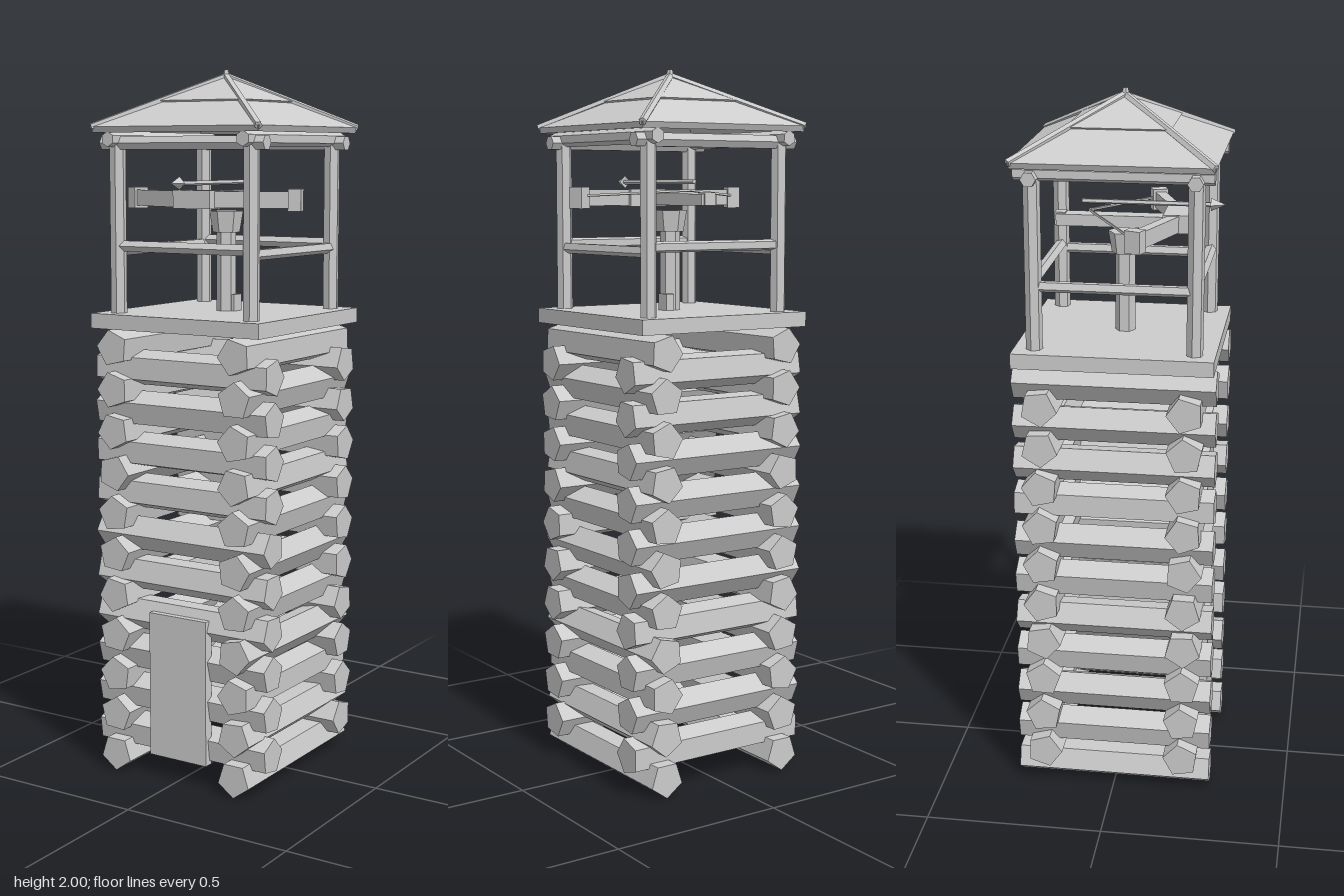
import * as THREE from 'three';

export function createModel() {
  const group = new THREE.Group();
  const grey = new THREE.MeshStandardMaterial({ color: 0xcccccc, flatShading: true, side: THREE.DoubleSide });
  grey.name = 'plainGrey';

  function add(name, geometry, x = 0, y = 0, z = 0, parent = group) {
    const mesh = new THREE.Mesh(geometry, grey);
    mesh.name = name;
    mesh.position.set(x, y, z);
    parent.add(mesh);
    return mesh;
  }
  const box = (name, w, h, d, x, y, z) => add(name, new THREE.BoxGeometry(w, h, d), x, y, z);

  // A faceted pole running between two points
  function pole(name, a, b, r, sides = 5, roll = 0, rTop = r) {
    const from = new THREE.Vector3(...a), to = new THREE.Vector3(...b);
    const dir = to.clone().sub(from);
    const geometry = new THREE.CylinderGeometry(rTop, r, dir.length(), sides).rotateY(roll);
    const mesh = add(name, geometry);
    mesh.position.copy(from).add(to).multiplyScalar(0.5);
    mesh.quaternion.setFromUnitVectors(new THREE.Vector3(0, 1, 0), dir.normalize());
    return mesh;
  }
  let seed = 7;
  const random = () => (seed = (seed * 16807) % 2147483647) / 2147483647;

  // Log walls: side logs and front/back logs stacked alternately
  for (let row = 0; row < 21; row++) {
    const y = 0.054 + row * 0.059;
    for (const s of [-1, 1]) {
      const roll = row === 0 ? 0 : random() * Math.PI * 2;
      if (row % 2 === 0) pole('sideLog', [s * 0.2, y, -0.28], [s * 0.2, y, 0.28], 0.052, 5, roll);
      else pole('crossLog', [-0.28, y, s * 0.2], [0.28, y, s * 0.2], 0.052, 5, roll);
    }
  }

  // Door and platform
  box('door', 0.19, 0.42, 0.03, 0, 0.275, 0.242);
  box('platform', 0.55, 0.042, 0.55, 0, 1.307, 0);

  // Watch room frame
  for (const s of [-1, 1]) {
    for (const t of [-1, 1]) pole('cornerPost', [s * 0.218, 1.32, t * 0.218], [s * 0.218, 1.81, t * 0.218], 0.023, 6, 0.3);
    pole('crossRail', [-0.218, 1.515, s * 0.218], [0.218, 1.515, s * 0.218], 0.016);
    pole('sideRail', [s * 0.218, 1.503, -0.218], [s * 0.218, 1.503, 0.218], 0.016);
    pole('crossBeam', [-0.265, 1.798, s * 0.218], [0.265, 1.798, s * 0.218], 0.021, 6);
    pole('sideBeam', [s * 0.218, 1.808, -0.265], [s * 0.218, 1.808, 0.265], 0.021, 6);
  }

  // Square roof shells: each profile is a closed strip turned in four steps
  function roofShell(name, half, yLow, yHigh, thick) {
    const r = half * Math.SQRT2;
    const profile = [[0, yHigh - thick], [r - 0.01, yLow - thick], [r, yLow], [0, yHigh]]
      .map(([x, y]) => new THREE.Vector2(x, y));
    add(name, new THREE.LatheGeometry(profile, 4, Math.PI / 4));
  }
  roofShell('lowerRoof', 0.273, 1.842, 1.977, 0.016);
  roofShell('upperRoof', 0.14, 1.914, 1.983, 0.008);
  for (const s of [-1, 1]) for (const t of [-1, 1])
    pole('hipRidge', [s * 0.27, 1.841, t * 0.27], [0, 1.981, 0], 0.011);
  pole('finial', [0, 1.965, 0], [0, 2, 0], 0.016, 5, 0, 0.007);

  // Mounted crossbow: pedestal, swivel head and stock
  pole('pedestal', [0, 1.32, 0], [0, 1.56, 0], 0.028, 6);
  box('pedestalFoot', 0.025, 0.05, 0.04, 0.02, 1.35, -0.01);
  pole('swivelHead', [0, 1.55, 0], [0, 1.61, 0], 0.038, 6, 0, 0.048);
  box('stock', 0.05, 0.032, 0.34, 0, 1.64, -0.02);
  box('stockEnd', 0.035, 0.035, 0.03, 0, 1.642, -0.18);
  box('bowBlock', 0.12, 0.05, 0.07, 0, 1.645, 0.145);

  // Swept bow arms with tips and string
  for (const s of [-1, 1]) {
    const arm = box('bowArm', 0.225, 0.045, 0.03, s * 0.16, 1.645, 0.1);
    arm.rotation.y = s * 0.36;
    const tip = box('bowTip', 0.036, 0.06, 0.045, s * 0.262, 1.645, 0.062);
    tip.rotation.y = s * 0.36;
    pole('bowString', [s * 0.26, 1.65, 0.055], [0, 1.665, -0.1], 0.004, 4);
  }

  // Loaded bolt
  pole('boltShaft', [0, 1.69, -0.12], [0, 1.69, 0.25], 0.007, 5);
  pole('boltHead', [0, 1.69, 0.235], [0, 1.69, 0.275], 0.018, 4, 0, 0.001);
  return group;
}
